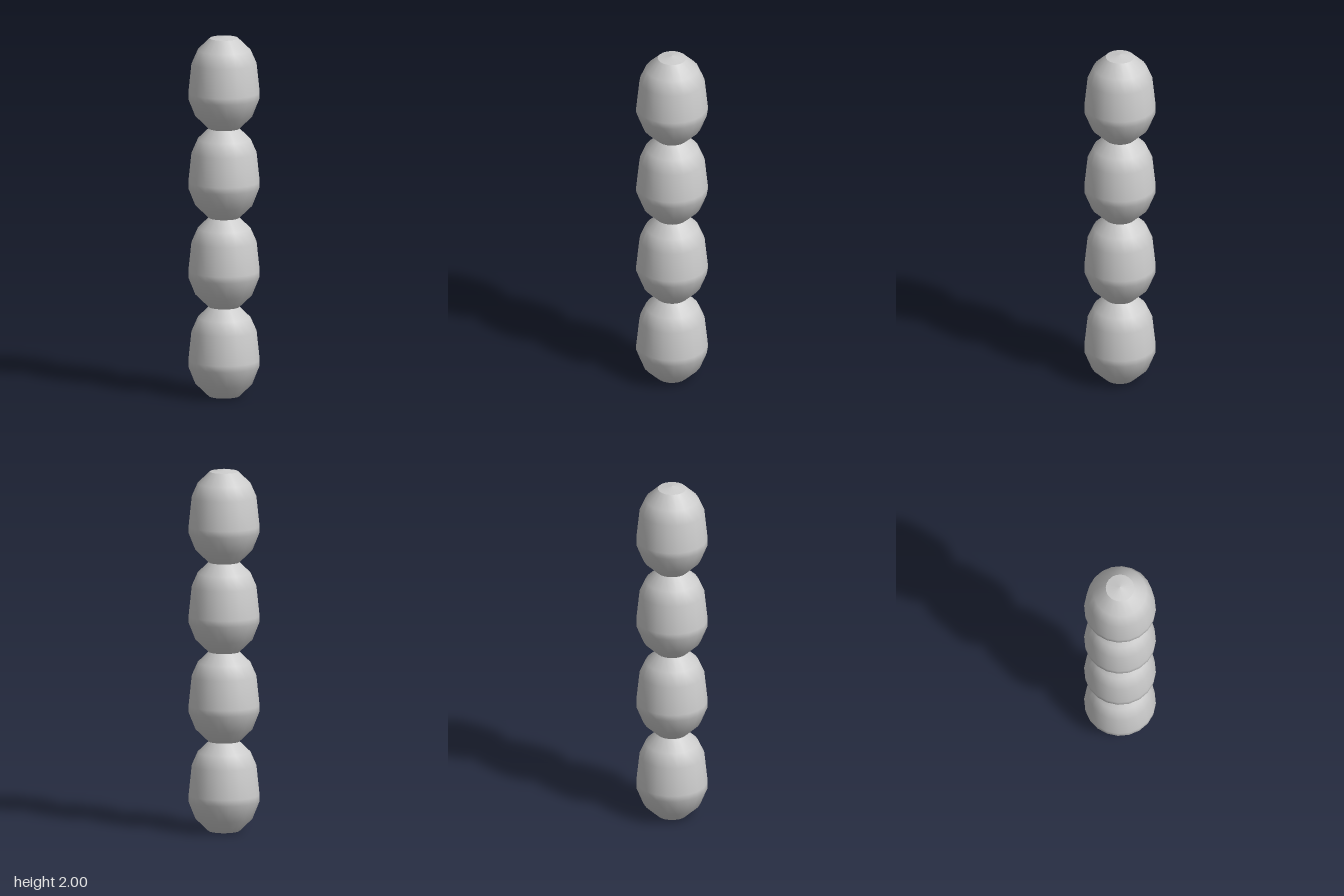
import * as THREE from 'three';

const SIDES = 20;
const BEAD_COUNT = 4;
const SPACING = 0.495;

// Half outline of one egg-shaped bead, from its base ring to its top ring
const OUTLINE = [
  [0.085, 0], [0.157, 0.07], [0.195, 0.165], [0.195, 0.2],
  [0.178, 0.36], [0.145, 0.435], [0.078, 0.5],
];

function lathe(points) {
  return new THREE.LatheGeometry(points.map(([r, y]) => new THREE.Vector2(r, y)), SIDES);
}

export function createModel() {
  const model = new THREE.Group();
  model.name = 'beadColumn';
  const material = new THREE.MeshStandardMaterial({ color: 0xcccccc });

  // Smooth wall, shallow lid and flat base, kept separate for crisp rims
  const parts = {
    beadWall: lathe(OUTLINE),
    beadLid: lathe([[0.078, 0.5], [0, 0.515]]),
    beadBase: lathe([[0, 0], [0.085, 0]]),
  };

  // Stack of identical beads
  for (let i = 0; i < BEAD_COUNT; i++) {
    const bead = new THREE.Group();
    bead.name = `bead${i + 1}`;
    bead.position.y = i * SPACING;
    for (const [name, geometry] of Object.entries(parts)) {
      const mesh = new THREE.Mesh(geometry, material);
      mesh.name = name;
      bead.add(mesh);
    }
    model.add(bead);
  }
  return model;
}
